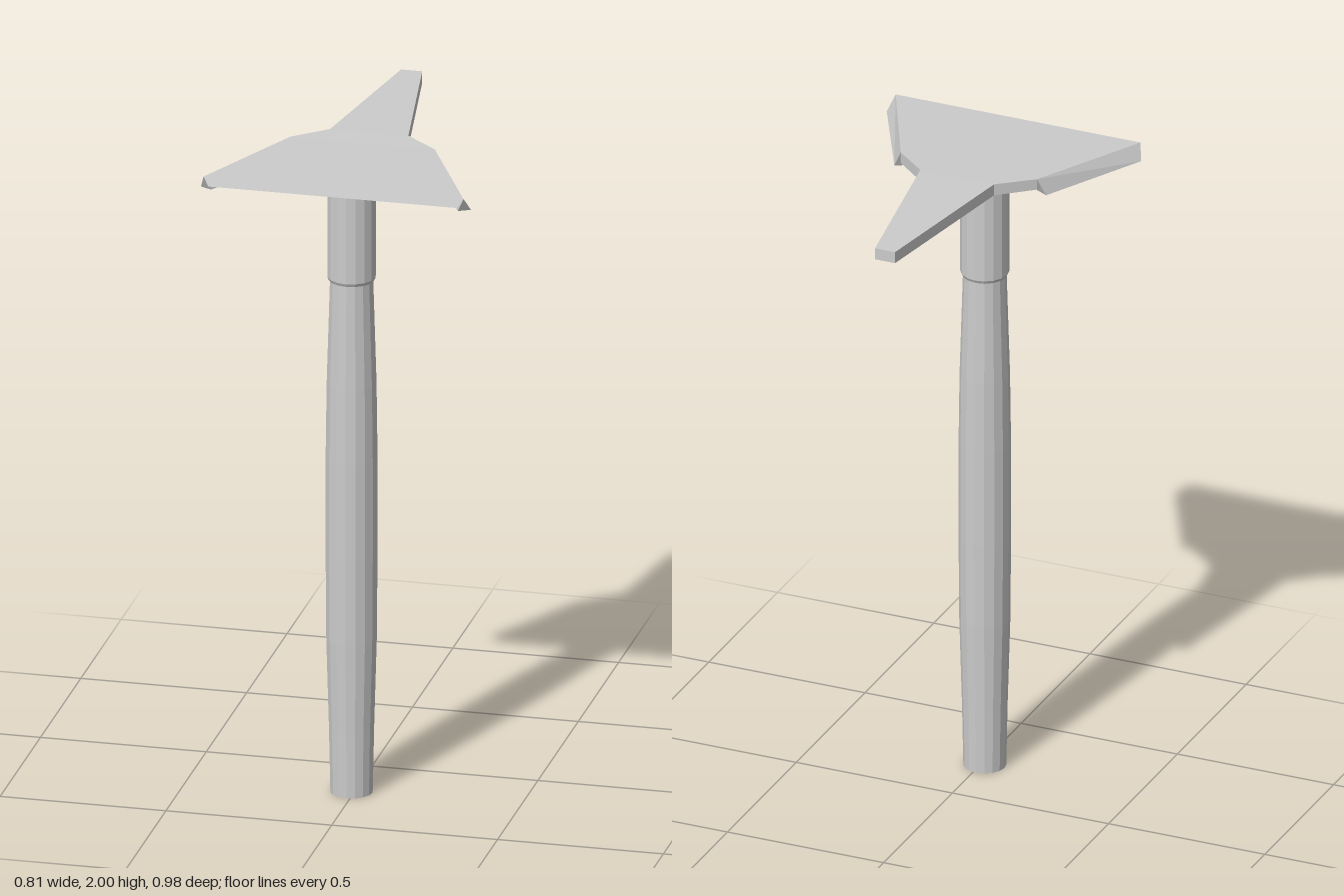
import * as THREE from 'three';

const mat = new THREE.MeshStandardMaterial({ color: 0xcccccc, flatShading: true });

// Solid skinned over matching cross-sections (corners counter-clockwise seen from +z, sections back to front)
function loft(sections) {
  const out = [];
  const tri = (a, b, c) => out.push(...a, ...b, ...c);
  const n = sections[0].length;
  for (let s = 0; s < sections.length - 1; s++) {
    const p = sections[s], q = sections[s + 1];
    for (let i = 0; i < n; i++) {
      const j = (i + 1) % n;
      tri(p[i], p[j], q[j]);
      tri(p[i], q[j], q[i]);
    }
  }
  const back = sections[0], front = sections[sections.length - 1];
  for (let i = 1; i < n - 1; i++) {
    tri(back[0], back[i + 1], back[i]);
    tri(front[0], front[i], front[i + 1]);
  }
  const g = new THREE.BufferGeometry();
  g.setAttribute('position', new THREE.Float32BufferAttribute(out, 3));
  g.computeVertexNormals();
  return g;
}

function add(group, name, geometry) {
  const mesh = new THREE.Mesh(geometry, mat);
  mesh.name = name;
  group.add(mesh);
  return mesh;
}

export function createModel() {
  const group = new THREE.Group();
  group.name = 'scraperTool';

  // Head plate: narrow tail widening into a slightly sloped blade with a bevelled front edge
  // rows: top z, half width, top y, bottom z, bottom half width
  const rows = [
    [-0.49, 0.032, 2, -0.49, 0.032],
    [0.035, 0.118, 2, 0.035, 0.118],
    [0.12, 0.218, 1.998, 0.12, 0.218],
    [0.478, 0.392, 1.99, 0.488, 0.375],
  ];
  add(group, 'headPlate', loft(rows.map(([z, w, y, zb, wb]) => [
    [-wb, 1.964, zb], [wb, 1.964, zb], [w, y, z], [-w, y, z],
  ])));

  // Triangular cutting edges hanging from both slanted sides
  for (const side of [1, -1]) {
    const ends = [
      [[0.205, 1.946, 0.15], [0.243, 1.946, 0.13], [0.218, 1.998, 0.12]],
      [[0.372, 1.946, 0.465], [0.407, 1.946, 0.447], [0.392, 1.99, 0.478]],
    ].map(sec => {
      const m = sec.map(([x, y, z]) => [x * side, y, z]);
      return side > 0 ? m : m.reverse();
    });
    add(group, side > 0 ? 'leftCuttingEdge' : 'rightCuttingEdge', loft(ends));
  }

  // Turned handle with a gentle swell, and the socket above it
  const turned = pts => new THREE.LatheGeometry(pts.map(([r, y]) => new THREE.Vector2(r, y)), 16);
  const handle = add(group, 'handle', turned([
    [0, 0], [0.063, 0], [0.067, 0.2], [0.075, 0.48], [0.077, 0.75],
    [0.077, 1.05], [0.074, 1.28], [0.064, 1.61], [0, 1.61],
  ]));
  const socket = add(group, 'socket', turned([
    [0, 1.605], [0.067, 1.605], [0.072, 1.615], [0.072, 1.97], [0, 1.97],
  ]));
  for (const part of [handle, socket]) part.position.set(-0.01, 0, 0.213);

  return group;
}
